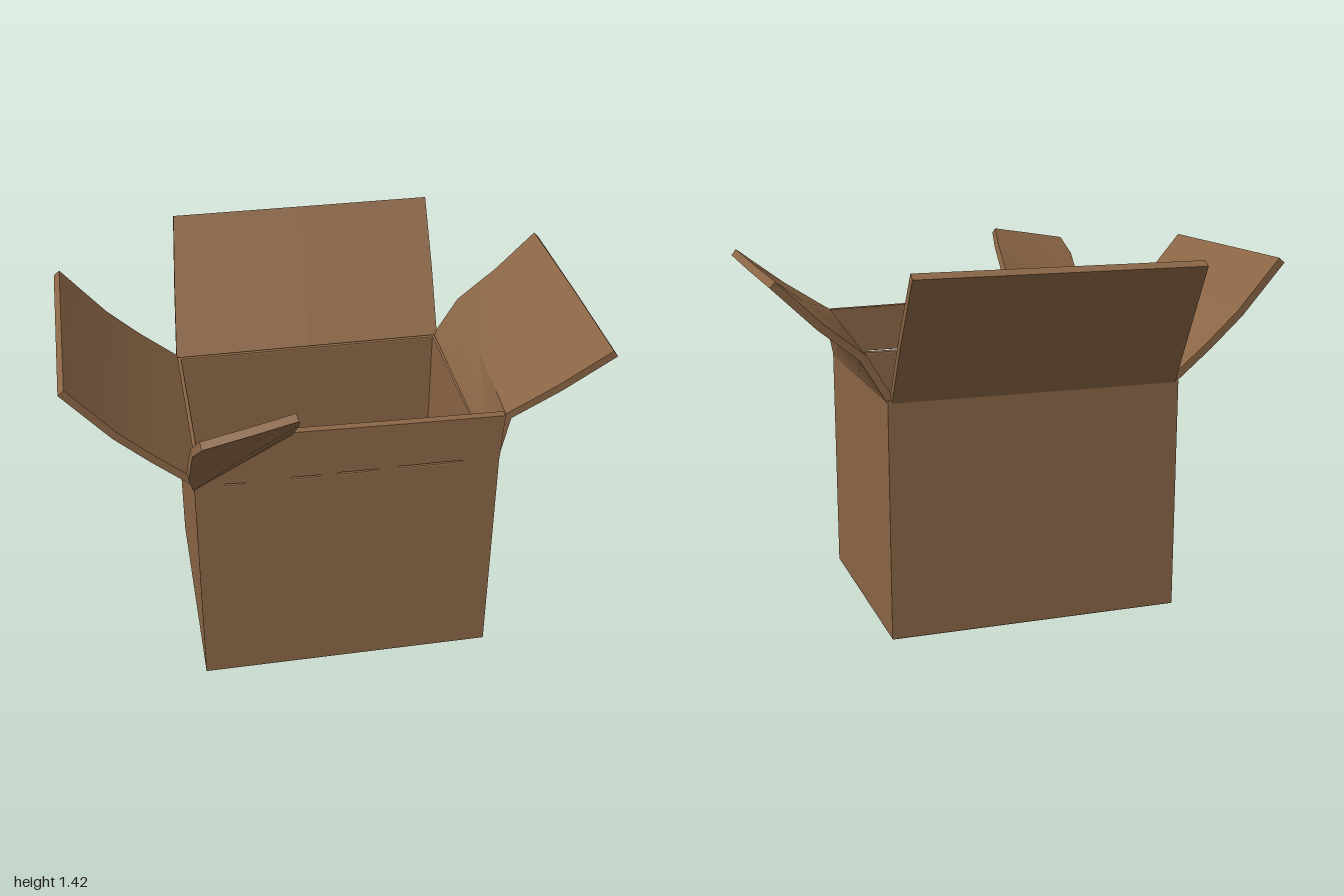
import * as THREE from 'three';
import { toCreasedNormals } from 'three/addons/utils/BufferGeometryUtils.js';

const cardboard = new THREE.MeshStandardMaterial({ color: 0x8b6646 });
cardboard.name = 'cardboard brown';

function part(name, geometry) {
  const mesh = new THREE.Mesh(geometry, cardboard);
  mesh.name = name;
  return mesh;
}

const box = (x0, x1, y0, y1, z0, z1) =>
  new THREE.BoxGeometry(x1 - x0, y1 - y0, z1 - z0)
    .translate((x0 + x1) / 2, (y0 + y1) / 2, (z0 + z1) / 2);

// Bent sheet: rows run from hinge to tip, each from left to right on the outer face.
// The inner face is the outer one pushed back along its normals by the thickness.
function sheet(rows, thickness) {
  const nr = rows.length, nc = rows[0].length, n = nr * nc;
  const outer = rows.flat(2);
  const index = [];
  const quad = (a, b, c, d) => index.push(a, b, c, a, c, d);
  for (let r = 0; r < nr - 1; r++) {
    for (let c = 0; c < nc - 1; c++) {
      const i = r * nc + c;
      quad(i, i + 1, i + nc + 1, i + nc);
    }
  }
  const face = new THREE.BufferGeometry();
  face.setAttribute('position', new THREE.Float32BufferAttribute(outer, 3));
  face.setIndex([...index]);
  face.computeVertexNormals();
  const normals = face.attributes.normal.array;
  const inner = outer.map((v, i) => v - normals[i] * thickness);
  const front = index.length;
  for (let i = 0; i < front; i += 3) index.push(index[i] + n, index[i + 2] + n, index[i + 1] + n);
  // Edges all round
  const rim = (a, b) => quad(b, a, a + n, b + n);
  for (let c = 0; c < nc - 1; c++) {
    rim(c, c + 1);
    rim((nr - 1) * nc + c + 1, (nr - 1) * nc + c);
  }
  for (let r = 0; r < nr - 1; r++) {
    rim((r + 1) * nc, r * nc);
    rim(r * nc + nc - 1, (r + 1) * nc + nc - 1);
  }
  const geo = new THREE.BufferGeometry();
  geo.setAttribute('position', new THREE.Float32BufferAttribute([...outer, ...inner], 3));
  geo.setIndex(index);
  return toCreasedNormals(geo, 0.6);
}

const outline = (Type, points) => new Type(points.map(([x, y]) => new THREE.Vector2(x, y)));

export function createModel() {
  const group = new THREE.Group();
  group.name = 'openCardboardBox';

  // Four walls as one frame, extruded upwards, with slightly softened edges
  const bevel = 0.006;
  const frame = outline(THREE.Shape, [[-0.549, -0.469], [0.589, -0.469], [0.589, 0.459], [-0.549, 0.459]]);
  frame.holes.push(outline(THREE.Path, [[-0.526, -0.446], [-0.526, 0.446], [0.566, 0.446], [0.566, -0.446]]));
  const walls = new THREE.ExtrudeGeometry(frame, {
    depth: 0.92 - 2 * bevel, bevelThickness: bevel, bevelSize: bevel, bevelSegments: 2,
  });
  walls.rotateX(-Math.PI / 2).translate(0, bevel, 0);
  group.add(part('walls', walls));
  group.add(part('floor', box(-0.54, 0.58, 0.003, 0.03, -0.455, 0.46)));

  // Back flap, leaning outwards
  group.add(part('backFlap', sheet([
    [[0.58, 0.91, -0.468], [0.02, 0.91, -0.468], [-0.54, 0.91, -0.468]],
    [[0.585, 1.15, -0.625], [0.03, 1.15, -0.63], [-0.52, 1.15, -0.625]],
    [[0.585, 1.4, -0.797], [0.04, 1.4, -0.797], [-0.495, 1.4, -0.797]],
  ], 0.032)));

  // Left-hand-side flap over the +x wall, creased a little above its hinge
  group.add(part('leftFlap', sheet([
    [[0.595, 0.91, 0.465], [0.595, 0.91, 0], [0.595, 0.91, -0.455]],
    [[0.63, 1.09, 0.468], [0.66, 1.08, 0], [0.69, 1.07, -0.452]],
    [[0.81, 1.205, 0.488], [0.82, 1.2, 0], [0.84, 1.19, -0.455]],
    [[0.995, 1.345, 0.512], [1, 1.345, 0.03], [1, 1.345, -0.46]],
  ], 0.03)));

  // Flap over the -x wall, with a shallow sag
  group.add(part('rightFlap', sheet([
    [[-0.555, 0.91, -0.452], [-0.555, 0.91, 0], [-0.555, 0.91, 0.442]],
    [[-0.7, 1.03, -0.45], [-0.7, 1.035, 0], [-0.7, 1.03, 0.437]],
    [[-0.83, 1.15, -0.45], [-0.83, 1.16, 0], [-0.83, 1.15, 0.437]],
    [[-1, 1.35, -0.455], [-1, 1.35, 0], [-1, 1.35, 0.437]],
  ], 0.03)));

  // Upright part of the front flap, its lower edge torn into small slits
  const lower = [[-0.56, 0.915]];
  for (const [a, b] of [[-0.45, -0.36], [-0.2, -0.08], [-0.03, 0.14], [0.2, 0.46]]) {
    lower.push([a, 0.915], [a + 0.01, 0.929], [b - 0.01, 0.927], [b, 0.915]);
  }
  const strip = outline(THREE.Shape, [...lower, [0.595, 0.915], [0.605, 1.11], [0.2, 1.118], [-0.19, 1.128]]);
  const stripGeo = new THREE.ExtrudeGeometry(strip, { depth: 0.03, bevelEnabled: false });
  group.add(part('frontFlapUpright', stripGeo.translate(0, 0, 0.447)));

  // Corner of the front flap, folded out along a diagonal crease
  group.add(part('frontFlapFoldedCorner', sheet([
    [[-0.56, 0.915, 0.477], [-0.38, 1.015, 0.477], [-0.19, 1.12, 0.477]],
    [[-0.578, 1.03, 0.57], [-0.38, 1.12, 0.59], [-0.192, 1.2, 0.57]],
    [[-0.57, 1.25, 0.74], [-0.38, 1.28, 0.735], [-0.2, 1.31, 0.7]],
    [[-0.54, 1.315, 0.798], [-0.37, 1.345, 0.785], [-0.21, 1.37, 0.765]],
  ], 0.03)));

  // Small tab stuck to the -x wall
  group.add(part('sideTab', box(-0.572, -0.55, 0.72, 0.925, -0.11, 0.12)));

  return group;
}
